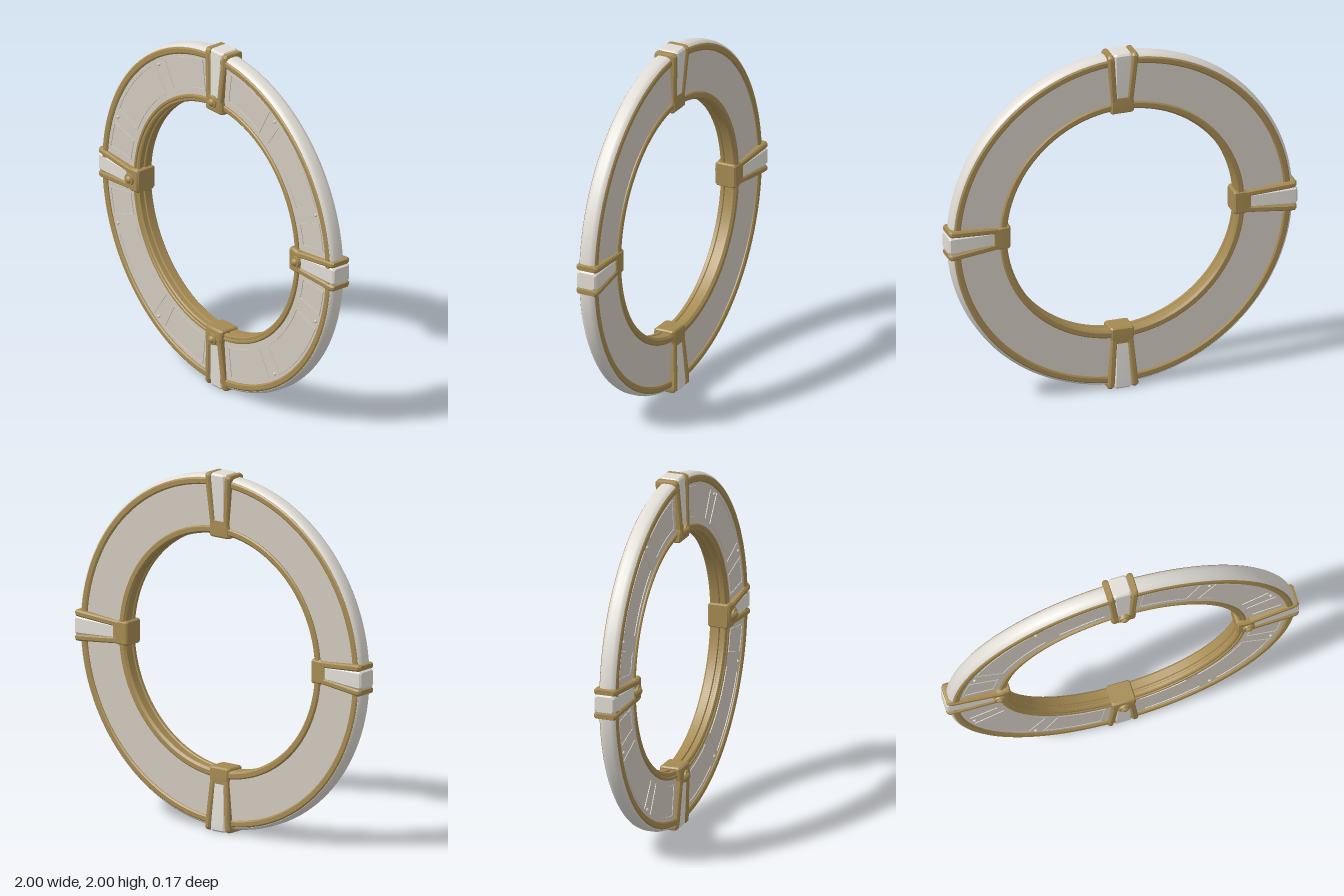
import * as THREE from 'three';
import { toCreasedNormals } from 'three/addons/utils/BufferGeometryUtils.js';

const mat = (name, color) => {
  const m = new THREE.MeshStandardMaterial({ color });
  m.name = name;
  return m;
};

// Revolve a closed (radius, z) profile about the z axis
function revolve(profile) {
  const pts = [...profile, profile[0]].map(([r, z]) => new THREE.Vector2(r, z));
  return toCreasedNormals(new THREE.LatheGeometry(pts, 128).rotateX(Math.PI / 2), 0.6);
}

// Loft chamfered rectangles along the radius; section = [r, centreX, halfWidth, front, back, chamfer]
function loft(sections) {
  const pos = [], idx = [];
  for (const [r, cx, w, f, b, c] of sections) {
    const ring = [[w, b + c], [w, f - c], [w - c, f], [c - w, f], [-w, f - c], [-w, b + c], [c - w, b], [w - c, b]];
    for (const [x, z] of ring) pos.push(cx + x, r, z);
  }
  const n = sections.length;
  for (let s = 0; s < n - 1; s++) {
    for (let i = 0; i < 8; i++) {
      const a = s * 8 + i, d = s * 8 + (i + 1) % 8;
      idx.push(a, a + 8, d, d, a + 8, d + 8);
    }
  }
  const top = (n - 1) * 8;
  for (let i = 1; i < 7; i++) idx.push(0, i, i + 1, top, top + i + 1, top + i);
  const g = new THREE.BufferGeometry();
  g.setAttribute('position', new THREE.Float32BufferAttribute(pos, 3));
  // orient every face outwards
  const v = i => new THREE.Vector3().fromArray(pos, i * 3);
  const mid = new THREE.Vector3();
  for (let i = 0; i < n * 8; i++) mid.add(v(i));
  mid.divideScalar(n * 8);
  for (let i = 0; i < idx.length; i += 3) {
    const a = v(idx[i]), b = v(idx[i + 1]), c = v(idx[i + 2]);
    const nor = b.clone().sub(a).cross(c.clone().sub(a));
    if (nor.dot(a.sub(mid)) < 0) [idx[i + 1], idx[i + 2]] = [idx[i + 2], idx[i + 1]];
  }
  g.setIndex(idx);
  return toCreasedNormals(g, 0.5);
}

// Sector of a flat ring between two angles
function sector(Type, r0, r1, a0, a1) {
  const s = new Type();
  s.absarc(0, 0, r1, a0, a1, false);
  s.absarc(0, 0, r0, a1, a0, true);
  s.closePath();
  return s;
}

export function createModel() {
  const gold = mat('antique gold', 0xa58a52);
  const ivory = mat('ivory', 0xe0dcd5);
  const stone = mat('warm stone', 0xd0c9be);

  const model = new THREE.Group();
  model.name = 'segmentedRing';
  const ring = new THREE.Group();
  ring.name = 'ring';
  ring.position.y = 1;
  model.add(ring);
  const add = (parent, name, geo, material) => {
    const m = new THREE.Mesh(geo, material);
    m.name = name;
    parent.add(m);
    return m;
  };

  // Ring body and outer rim
  add(ring, 'body', revolve([[0.68, -0.05], [0.955, -0.05], [0.955, 0.03], [0.68, 0.03]]), stone);
  add(ring, 'outerRim', revolve([[0.94, -0.055], [0.97, -0.055], [0.98, -0.045], [0.985, -0.03],
    [0.985, 0.01], [0.98, 0.025], [0.97, 0.035], [0.94, 0.035]]), ivory);

  // Outer trims on both faces
  add(ring, 'frontOuterTrim', revolve([[0.93, 0.025], [0.968, 0.025], [0.968, 0.036], [0.96, 0.042], [0.938, 0.042], [0.93, 0.036]]), gold);
  add(ring, 'backOuterTrim', revolve([[0.93, -0.056], [0.938, -0.062], [0.96, -0.062], [0.968, -0.056], [0.968, -0.045], [0.93, -0.045]]), gold);

  // Stepped inner band
  add(ring, 'innerBand', revolve([[0.672, -0.062], [0.695, -0.062], [0.702, -0.056], [0.702, 0.036],
    [0.697, 0.042], [0.686, 0.042], [0.682, 0.036], [0.67, 0.036], [0.662, 0.03], [0.662, 0.012],
    [0.668, 0.008], [0.668, -0.002], [0.66, -0.006], [0.66, -0.05]]), gold);

  // Panels and rivets on the front, mirrored into four quadrants
  const rad = THREE.MathUtils.degToRad;
  const panels = [[7.5, 29.5], [35.5, 66.5], [72.5, 82.5]];
  const line = 0.007;
  for (let q = 0; q < 4; q++) {
    const place = deg => {
      const a = rad(90 - deg);
      return [a, Math.PI - a, Math.PI + a, -a][q];
    };
    for (const [d0, d1] of panels) {
      const [a0, a1] = [place(d0), place(d1)].sort((a, b) => a - b);
      const frame = sector(THREE.Shape, 0.735, 0.912, a0, a1);
      const t = line / 0.82;
      frame.holes.push(sector(THREE.Path, 0.735 + line, 0.912 - line, a0 + t, a1 - t));
      const geo = new THREE.ExtrudeGeometry(frame, { depth: 0.005, bevelEnabled: false, curveSegments: 16 });
      add(ring, 'panelFrame', geo.translate(0, 0, 0.029), stone);
    }
    for (const d of [33.3, 69.4]) {
      const rivet = add(ring, 'rivet', new THREE.SphereGeometry(0.01, 12, 8), stone);
      rivet.position.set(0.897 * Math.cos(place(d)), 0.897 * Math.sin(place(d)), 0.031);
    }
  }

  // Four clamps
  const wedgeGeo = loft([[0.71, 0, 0.035, 0.054, -0.06, 0.006], [0.96, 0, 0.05, 0.042, -0.079, 0.01],
    [0.99, 0, 0.052, 0.04, -0.079, 0.012], [1, 0, 0.045, 0.032, -0.07, 0.012]]);
  const barGeo = s => loft([[0.7, s * 0.045, 0.016, 0.062, -0.066, 0.006], [0.96, s * 0.067, 0.018, 0.049, -0.084, 0.009],
    [0.985, s * 0.069, 0.018, 0.046, -0.083, 0.01], [0.997, s * 0.069, 0.013, 0.036, -0.07, 0.008]]);
  const bars = { left: barGeo(1), right: barGeo(-1) };
  const blockGeo = loft([[0.642, 0, 0.062, 0.048, -0.058, 0.008], [0.65, 0, 0.068, 0.058, -0.066, 0.01],
    [0.7, 0, 0.068, 0.064, -0.068, 0.01], [0.735, 0, 0.058, 0.06, -0.066, 0.01]]);
  const collarGeo = new THREE.CylinderGeometry(0.032, 0.036, 0.02, 24).rotateX(Math.PI / 2);
  const knobGeo = new THREE.SphereGeometry(0.025, 24, 14);
  ['top', 'right', 'bottom', 'left'].forEach((side, i) => {
    const clamp = new THREE.Group();
    clamp.name = side + 'Clamp';
    clamp.rotation.z = i * Math.PI / 2;
    ring.add(clamp);
    add(clamp, 'wedge', wedgeGeo, ivory);
    add(clamp, 'leftBar', bars.left, gold);
    add(clamp, 'rightBar', bars.right, gold);
    add(clamp, 'innerBlock', blockGeo, gold);
    add(clamp, 'bossCollar', collarGeo, gold).position.set(0, 0.705, 0.062);
    add(clamp, 'bossKnob', knobGeo, gold).position.set(0, 0.705, 0.062);
  });
  return model;
}
